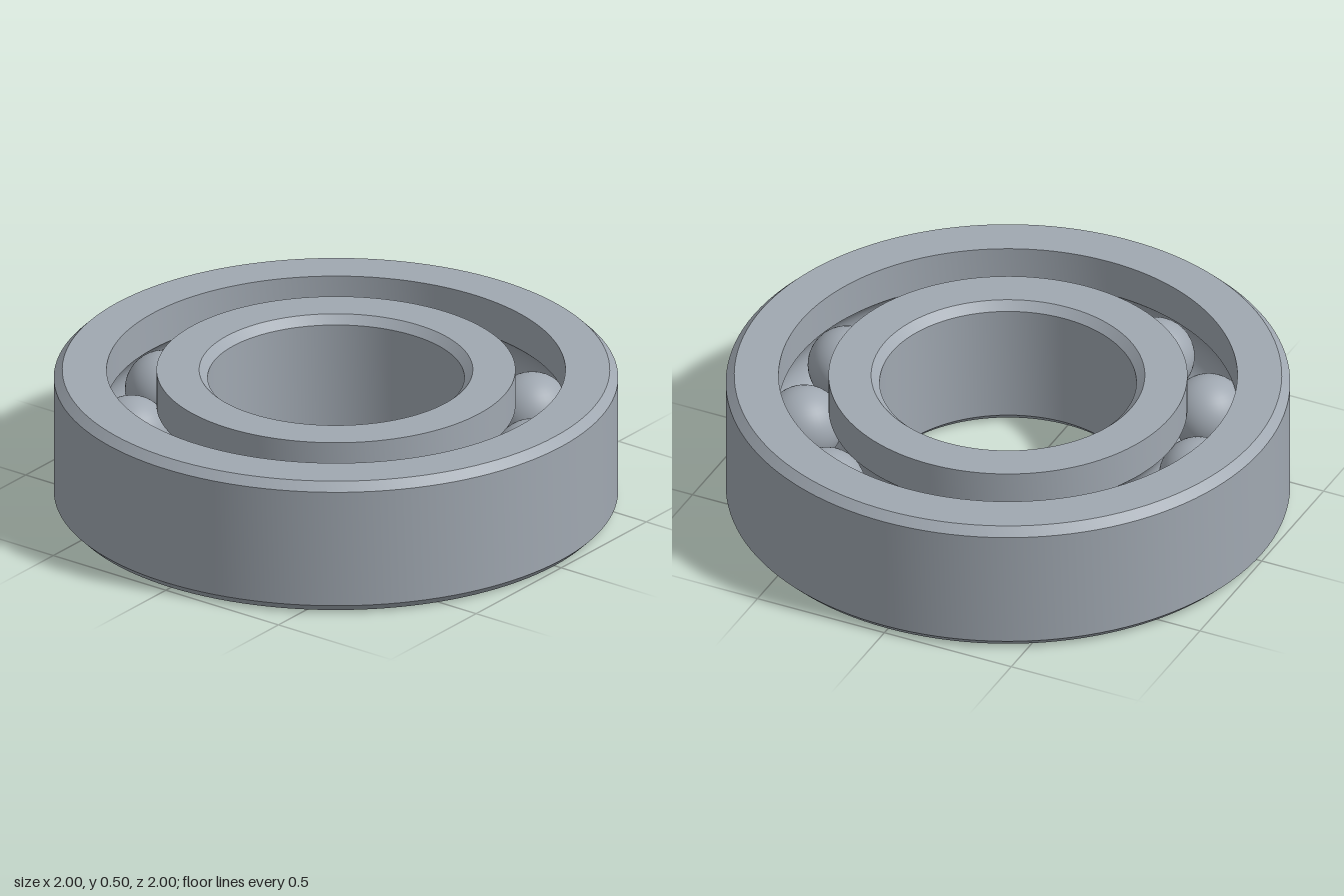
import * as THREE from 'three';
import { toCreasedNormals } from 'three/addons/utils/BufferGeometryUtils.js';

const HEIGHT = 0.5, MID = HEIGHT / 2, CHAMFER = 0.03;
const OUTER_R = 1, OUTER_WALL = 0.813;   // outer ring: outside and inside radius
const INNER_WALL = 0.636, BORE_R = 0.455; // inner ring: outside and bore radius
const PITCH = (OUTER_WALL + INNER_WALL) / 2;
const BALL_R = 0.139, GROOVE_R = 0.142, BALLS = 11, FIRST_ANGLE = 0.21;

// Points of the round raceway groove, swept between two angles about the ball centre
function groove(from, to, steps = 14) {
  return Array.from({ length: steps + 1 }, (_, i) => {
    const a = from + (to - from) * i / steps;
    return [PITCH + GROOVE_R * Math.cos(a), MID + GROOVE_R * Math.sin(a)];
  });
}

// Revolve a closed profile, keeping chamfer and groove edges sharp
function ring(name, profile, material) {
  const points = [...profile, profile[0]].map(([r, y]) => new THREE.Vector2(r, y));
  const mesh = new THREE.Mesh(toCreasedNormals(new THREE.LatheGeometry(points, 128), 0.5), material);
  mesh.name = name;
  return mesh;
}

export function createModel() {
  const group = new THREE.Group();
  group.name = 'ballBearing';
  const steel = new THREE.MeshStandardMaterial({ color: 0xa0a8b1 });
  steel.name = 'steel';

  const phi = Math.acos((OUTER_WALL - PITCH) / GROOVE_R);

  // Outer ring, chamfered outside, grooved inside
  group.add(ring('outerRing', [
    [OUTER_R - CHAMFER, 0], [OUTER_R, CHAMFER],
    [OUTER_R, HEIGHT - CHAMFER], [OUTER_R - CHAMFER, HEIGHT],
    [OUTER_WALL, HEIGHT], ...groove(phi, -phi), [OUTER_WALL, 0],
  ], steel));

  // Inner ring, grooved outside, chamfered at the bore
  group.add(ring('innerRing', [
    [BORE_R + CHAMFER, 0], [INNER_WALL, 0],
    ...groove(Math.PI + phi, Math.PI - phi),
    [INNER_WALL, HEIGHT], [BORE_R + CHAMFER, HEIGHT],
    [BORE_R, HEIGHT - CHAMFER], [BORE_R, CHAMFER],
  ], steel));

  // Balls evenly spaced in the raceway
  const balls = new THREE.Group();
  balls.name = 'balls';
  const ballGeometry = new THREE.SphereGeometry(BALL_R, 40, 24);
  for (let i = 0; i < BALLS; i++) {
    const a = FIRST_ANGLE + i * 2 * Math.PI / BALLS;
    const ball = new THREE.Mesh(ballGeometry, steel);
    ball.name = `ball${i + 1}`;
    ball.position.set(PITCH * Math.cos(a), MID, PITCH * Math.sin(a));
    balls.add(ball);
  }
  group.add(balls);
  return group;
}
